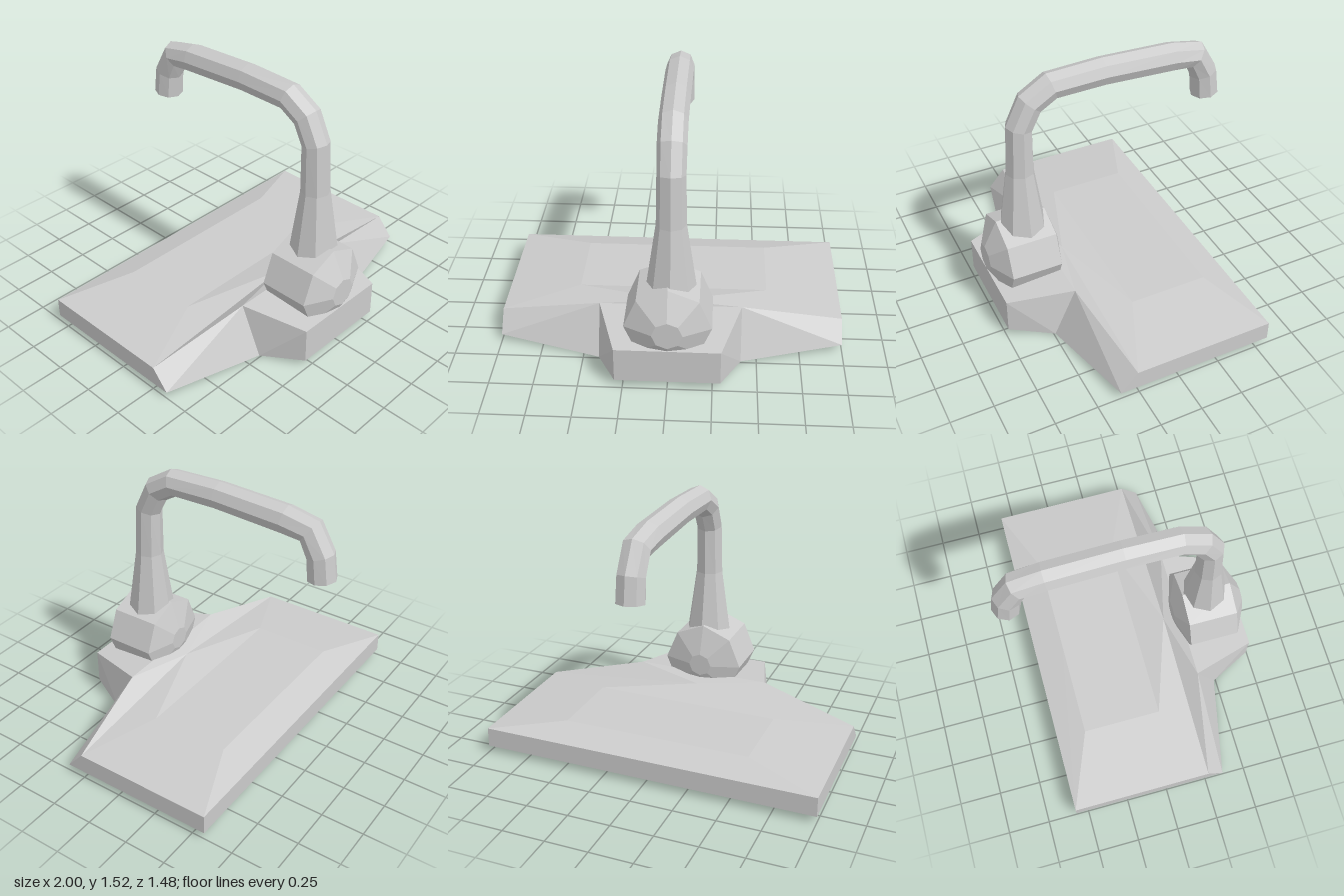
import * as THREE from 'three';

const material = new THREE.MeshStandardMaterial({ color: 0xcccccc, flatShading: true });

// Builds a faceted mesh from convex faces given as lists of [x, y, z] corners
function facetMesh(name, faces) {
  const positions = [];
  for (const f of faces)
    for (let i = 1; i < f.length - 1; i++) positions.push(...f[0], ...f[i], ...f[i + 1]);
  const geometry = new THREE.BufferGeometry();
  geometry.setAttribute('position', new THREE.Float32BufferAttribute(positions, 3));
  geometry.computeVertexNormals();
  const mesh = new THREE.Mesh(geometry, material);
  mesh.name = name;
  return mesh;
}

// Wide sloped plate with a block at the front; one half is drawn, then mirrored
function createBase() {
  const crest = [0, 0.26, 0.26];
  const endTop = [1, 0.16, 0.26], endLow = [1, 0.045, 0.36];
  const backTop = [1, 0.16, -0.575], backLow = [1, 0.045, -0.575];
  const trayBack = [0.56, 0.215, -0.4], trayFront = [0.56, 0.215, 0.07];
  const neckTop = [0.41, 0.295, 0.36], neckLow = [0.41, 0.005, 0.49];
  const blockTop = [0.295, 0.255, 0.735], blockLow = [0.295, 0.045, 0.735];
  const mid = ([, y, z]) => [0, y, z];

  const half = [
    // upper surface
    [mid(trayFront), trayFront, trayBack, mid(trayBack)],
    [mid(trayBack), trayBack, backTop, mid(backTop)],
    [trayBack, trayFront, endTop, backTop],
    [trayFront, crest, endTop],
    [mid(trayFront), crest, trayFront],
    [crest, neckTop, endTop],
    [crest, mid(neckTop), neckTop],
    [mid(neckTop), mid(blockTop), blockTop, neckTop],
    // sides
    [neckTop, neckLow, endLow, endTop],
    [blockTop, blockLow, neckLow, neckTop],
    [mid(blockTop), mid(blockLow), blockLow, blockTop],
    [endTop, endLow, backLow, backTop],
    [backTop, backLow, mid(backLow), mid(backTop)],
    // underside
    [mid(blockLow), mid(neckLow), neckLow, blockLow],
    [mid(neckLow), mid(endLow), endLow, neckLow],
    [mid(endLow), mid(backLow), backLow, endLow],
  ];
  // keep the first corner first so the triangle split is mirrored too
  const mirrored = half.map(([a, ...rest]) => [a, ...rest.reverse()].map(([x, y, z]) => [-x, y, z]));
  return facetMesh('base', [...half, ...mirrored]);
}

// Eight-sided knob lying along z
function createKnob() {
  const profile = [[0, 0.31], [0.07, 0.31], [0.243, 0.365], [0.243, 0.663], [0.085, 0.743], [0, 0.743]];
  const geometry = new THREE.LatheGeometry(profile.map(([r, z]) => new THREE.Vector2(r, z)), 8);
  geometry.rotateX(Math.PI / 2);
  const knob = new THREE.Mesh(geometry, material);
  knob.name = 'knob';
  knob.position.y = 0.365;
  return knob;
}

// Eight-sided tapering pipe swept along a bent path in the yz plane
function createSpout() {
  const sides = 8, centreX = 0.013;
  const path = [ // y, z, radius
    [0.48, 0.508, 0.148], [0.93, 0.505, 0.083], [1.22, 0.495, 0.078], [1.358, 0.428, 0.08],
    [1.433, 0.305, 0.08], [1.441, 0, 0.081], [1.421, -0.425, 0.083], [1.398, -0.575, 0.081],
    [1.273, -0.641, 0.081], [1.132, -0.657, 0.083],
  ];
  const direction = (i) => {
    const a = path[Math.max(i, 0)], b = path[Math.min(i + 1, path.length - 1)];
    return new THREE.Vector2(b[0] - a[0], b[1] - a[1]).normalize();
  };
  const rings = path.map(([y, z, r], i) => {
    const last = path.length - 1;
    const t = direction(Math.max(i - 1, 0)).add(direction(Math.min(i, last - 1))).normalize();
    return Array.from({ length: sides }, (_, k) => {
      const angle = (k / sides) * Math.PI * 2;
      const u = r * Math.cos(angle), v = r * Math.sin(angle);
      return [centreX + u, y - v * t.y, z + v * t.x];
    });
  });
  const faces = [rings[0], [...rings[rings.length - 1]].reverse()];
  for (let i = 0; i < rings.length - 1; i++)
    for (let k = 0; k < sides; k++) {
      const n = (k + 1) % sides;
      faces.push([rings[i][k], rings[i + 1][k], rings[i + 1][n], rings[i][n]]);
    }
  return facetMesh('spout', faces);
}

export function createModel() {
  const model = new THREE.Group();
  model.name = 'tap';
  model.add(createBase(), createKnob(), createSpout());
  return model;
}
